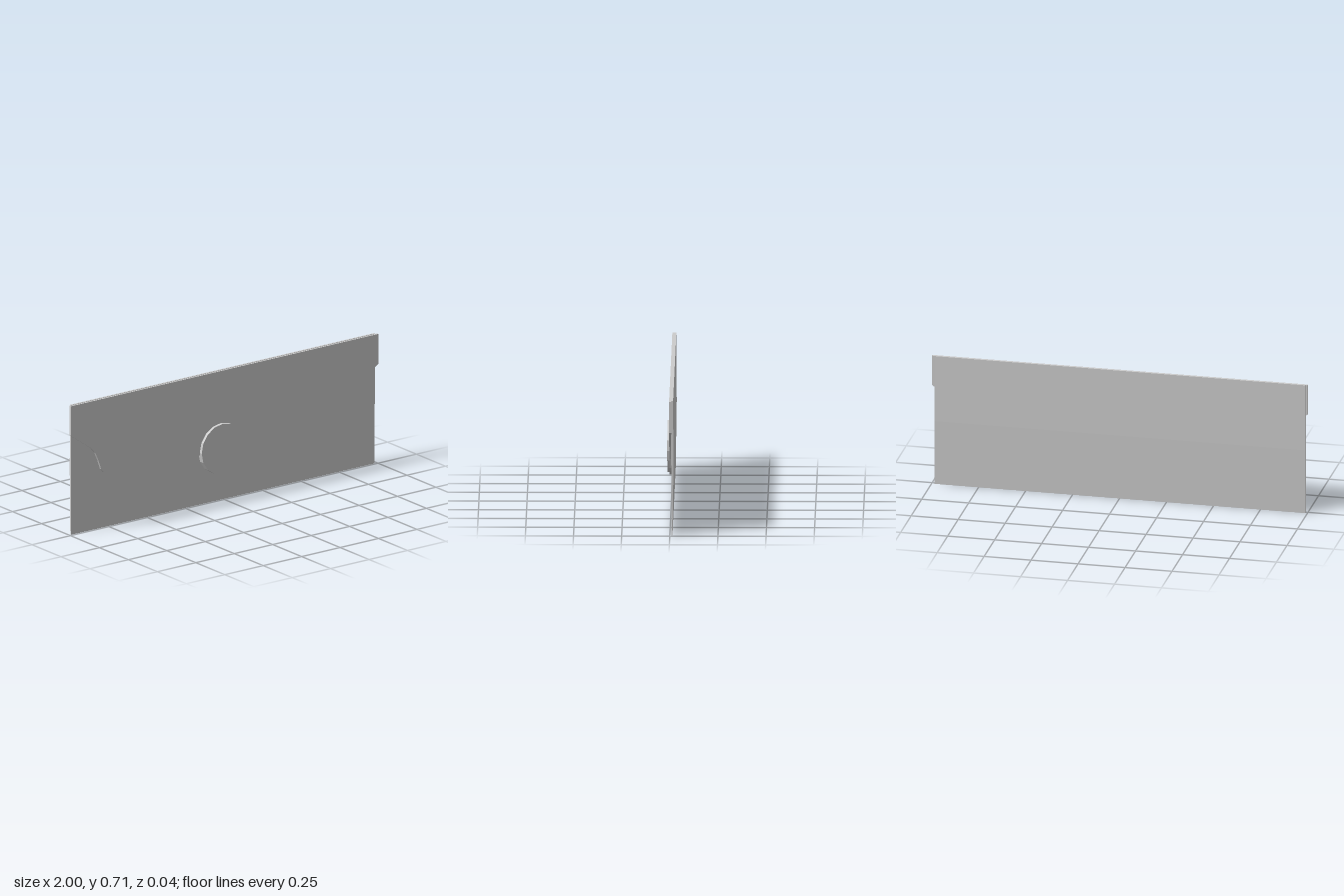
import * as THREE from 'three';

const material = new THREE.MeshStandardMaterial({ color: 0xcccccc, flatShading: true });

// Extrude a list of [x, y] points by depth
function extrude(points, depth) {
  const shape = new THREE.Shape(points.map(([x, y]) => new THREE.Vector2(x, y)));
  return new THREE.ExtrudeGeometry(shape, { depth, bevelEnabled: false });
}

function addPart(group, name, geometry) {
  const mesh = new THREE.Mesh(geometry, material);
  mesh.name = name;
  group.add(mesh);
  return mesh;
}

export function createModel() {
  const group = new THREE.Group();
  group.name = 'envelopeClutch';

  // Pouch: thin side profile [z, y], tapering to the bottom, swept across the width
  const width = 1.975;
  const profile = [[-0.009, 0], [-0.006, 0.71], [-0.017, 0.71], [-0.019, 0.35], [-0.014, 0]];
  const pouch = extrude(profile.map(([z, y]) => [-z, y]), width);
  pouch.translate(0, 0, -width / 2).rotateY(Math.PI / 2);
  addPart(group, 'pouch', pouch.translate(-0.003, 0, 0));

  // Flap: curved lower edge, mirrored left to right
  const edge = [[1, 0.708], [1, 0.546], [0.87, 0.455], [0.84, 0.42], [0.82, 0.375],
    [0.803, 0.325], [0.785, 0.305], [0.71, 0.273]];
  const mirrored = edge.map(([x, y]) => [-x, y]).reverse();
  const flap = addPart(group, 'flap', extrude([...edge, ...mirrored], 0.012));
  flap.position.z = -0.008;

  // Round clasp over the flap's edge
  const clasp = addPart(group, 'clasp', new THREE.CylinderGeometry(0.137, 0.137, 0.029, 16).rotateX(Math.PI / 2));
  clasp.position.set(-0.025, 0.287, 0.0065);

  return group;
}
